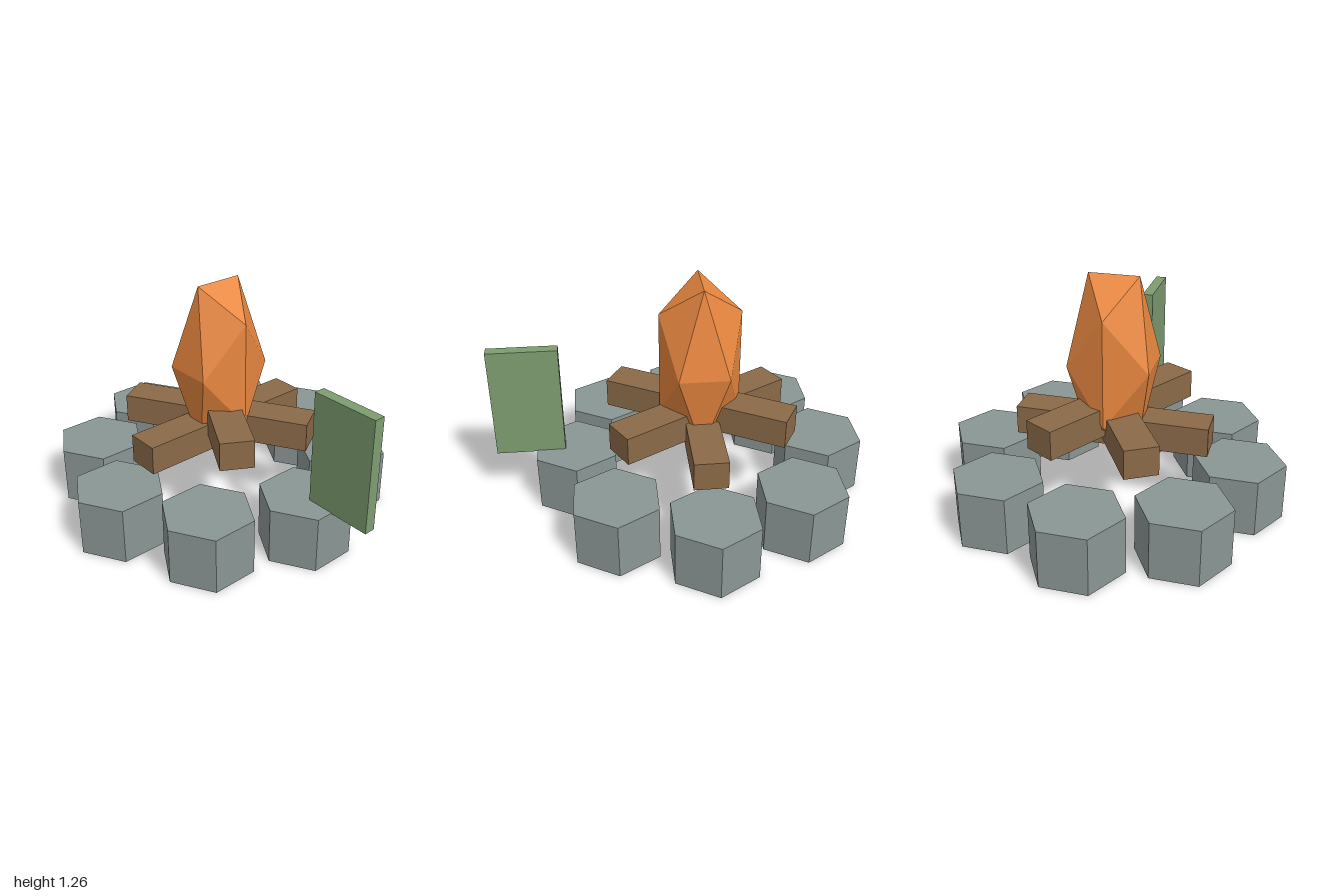
import * as THREE from 'three';

const mat = (color) => new THREE.MeshStandardMaterial({ color, flatShading: true });

export function createModel() {
  const model = new THREE.Group();
  model.name = 'campfire';
  const fireZ = -0.11;

  const add = (parent, name, geometry, material, x, y, z) => {
    const mesh = new THREE.Mesh(geometry, material);
    mesh.name = name;
    mesh.position.set(x, y, z);
    parent.add(mesh);
    return mesh;
  };

  const fire = new THREE.Group();
  fire.name = 'fire';
  fire.position.z = fireZ;
  model.add(fire);

  // Ring of eight hexagonal stones, all facing the same way
  const stoneGeo = new THREE.CylinderGeometry(0.245, 0.245, 0.31, 6).rotateY(Math.PI / 6);
  const stoneMat = mat(0x8a9694);
  for (let i = 0; i < 8; i++) {
    const a = (i * Math.PI) / 4;
    add(fire, `stone${i + 1}`, stoneGeo, stoneMat, 0.68 * Math.cos(a), 0.155, 0.68 * Math.sin(a));
  }

  // Three crossed logs, each a little higher than the last
  const logGeo = new THREE.BoxGeometry(1.045, 0.157, 0.18);
  const logMat = mat(0x8b6a48);
  [[0, 0.43], [2, 0.478], [1, 0.527]].forEach(([turn, y], i) => {
    const log = add(fire, `log${i + 1}`, logGeo, logMat, 0, y, 0);
    log.rotation.y = (turn * Math.PI) / 3;
  });

  // Flame: a faceted ball stretched upwards
  const flameGeo = new THREE.IcosahedronGeometry(0.255, 0).scale(1, 2.155, 1);
  add(fire, 'flame', flameGeo, mat(0xe8873f), 0, 0.797, 0);

  // Upright green panel above the front stone
  add(model, 'panel', new THREE.BoxGeometry(0.06, 0.615, 0.37), mat(0x7d9c70), 0, 0.6125, 0.815);

  return model;
}
